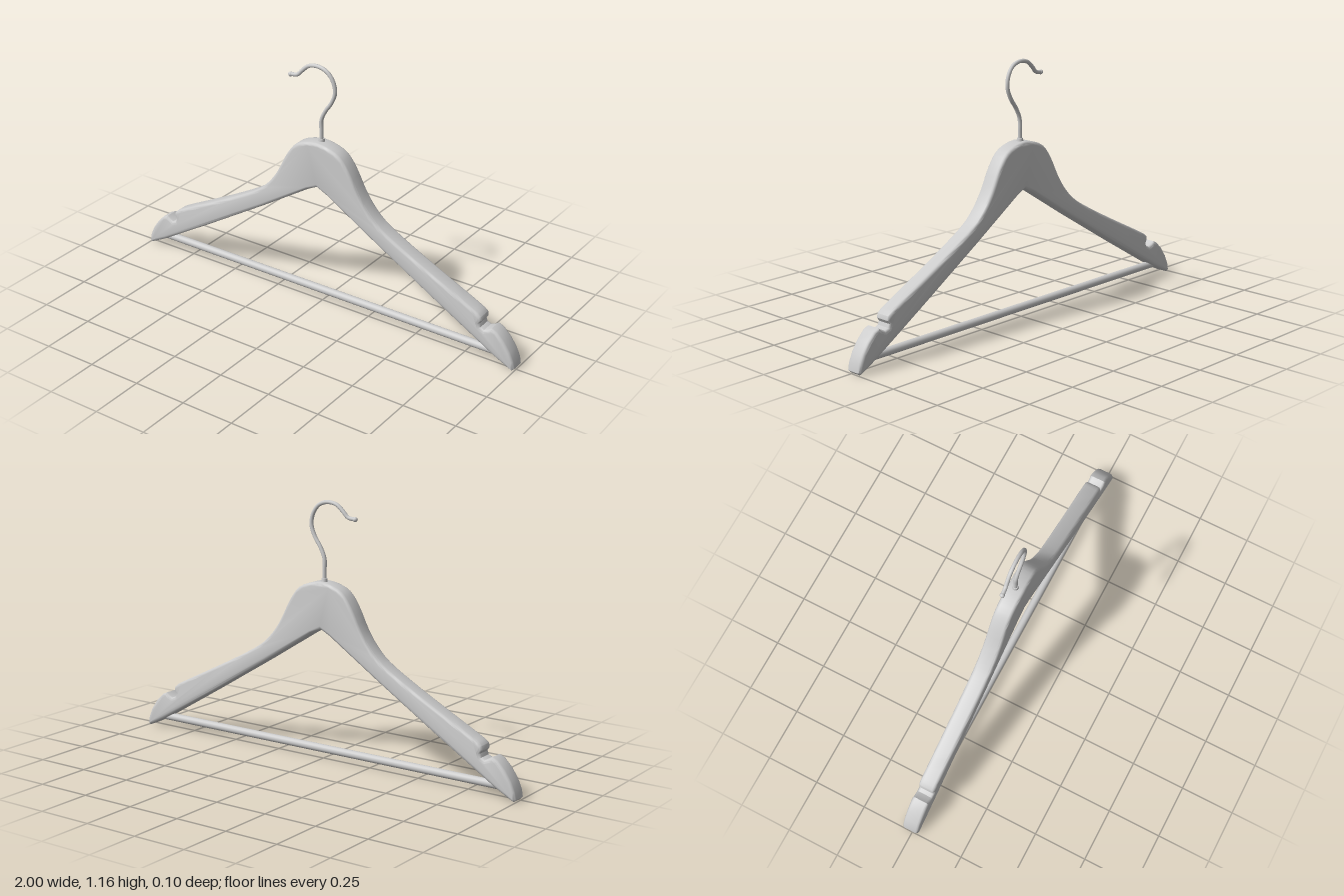
import * as THREE from 'three';
import { toCreasedNormals, mergeVertices } from 'three/addons/utils/BufferGeometryUtils.js';

const v2 = ([x, y]) => new THREE.Vector2(x, y);
const grey = new THREE.MeshStandardMaterial({ color: 0xcccccc });

function addMesh(group, name, geometry) {
  const mesh = new THREE.Mesh(geometry, grey);
  mesh.name = name;
  group.add(mesh);
  return mesh;
}

// the arms sweep gently backwards away from the middle
const bendZ = (x) => 0.011 - 0.022 * Math.abs(x);

// wooden body: mirrored outline, extruded with rounded edges and bent
function bodyGeometry() {
  const shoulder = new THREE.SplineCurve([
    [0, 0.806], [0.05, 0.799], [0.115, 0.772], [0.165, 0.71], [0.215, 0.615],
    [0.265, 0.545], [0.33, 0.485], [0.45, 0.415], [0.6, 0.337], [0.75, 0.262], [0.815, 0.228],
  ].map(v2)).getPoints(30);
  const tip = [
    [0.832, 0.214], [0.836, 0.195], [0.826, 0.18], [0.832, 0.164], [0.85, 0.157],
    [0.868, 0.164], [0.885, 0.176], [0.91, 0.165], [0.945, 0.13], [0.975, 0.087],
    [0.994, 0.045], [1, 0.012], [0.99, 0.002], [0.965, 0.014], [0.9, 0.048],
    [0.6, 0.228], [0.3, 0.412], [0.05, 0.57],
  ].map(v2);
  const half = [...shoulder, ...tip];
  const mirrored = half.slice(1).reverse().map((p) => new THREE.Vector2(-p.x, p.y));
  const outline = [...half, new THREE.Vector2(0, 0.595), ...mirrored];

  const bevel = 0.014, thickness = 0.08;
  const geometry = new THREE.ExtrudeGeometry(new THREE.Shape(outline), {
    depth: thickness - 2 * bevel, bevelEnabled: true, bevelThickness: bevel,
    bevelSize: bevel, bevelOffset: -bevel, bevelSegments: 3,
  });
  geometry.translate(0, 0, bevel - thickness / 2);
  const p = geometry.attributes.position;
  for (let i = 0; i < p.count; i++) p.setZ(i, p.getZ(i) + bendZ(p.getX(i)));
  geometry.deleteAttribute('uv');
  geometry.deleteAttribute('normal');
  return toCreasedNormals(mergeVertices(geometry), 0.7);
}

export function createModel() {
  const group = new THREE.Group();
  group.name = 'coatHanger';

  addMesh(group, 'body', bodyGeometry());

  // trouser bar between the arm ends
  const bar = addMesh(group, 'trouserBar', new THREE.CylinderGeometry(0.018, 0.018, 1.85, 20));
  bar.rotation.z = Math.PI / 2;
  bar.position.set(0, 0.051, -0.01);

  // wire hook with a rounded end
  const path = new THREE.CatmullRomCurve3([
    [0, 0.77, 0.007], [0, 0.85, 0.008], [0.001, 0.905, 0.009], [0.022, 0.952, 0.01],
    [0.055, 1.0, 0.011], [0.073, 1.05, 0.012], [0.064, 1.1, 0.014], [0.035, 1.138, 0.016],
    [-0.01, 1.153, 0.017], [-0.058, 1.145, 0.018], [-0.092, 1.117, 0.019],
    [-0.115, 1.094, 0.021], [-0.15, 1.088, 0.024],
  ].map((p) => new THREE.Vector3(...p)));
  addMesh(group, 'hook', new THREE.TubeGeometry(path, 72, 0.009, 10));
  const end = addMesh(group, 'hookTip', new THREE.SphereGeometry(0.011, 12, 8));
  end.position.copy(path.getPoint(1));

  // small collar where the hook enters the wood
  const collar = addMesh(group, 'hookCollar', new THREE.CylinderGeometry(0.013, 0.016, 0.02, 16));
  collar.position.set(0, 0.808, 0.007);

  return group;
}
